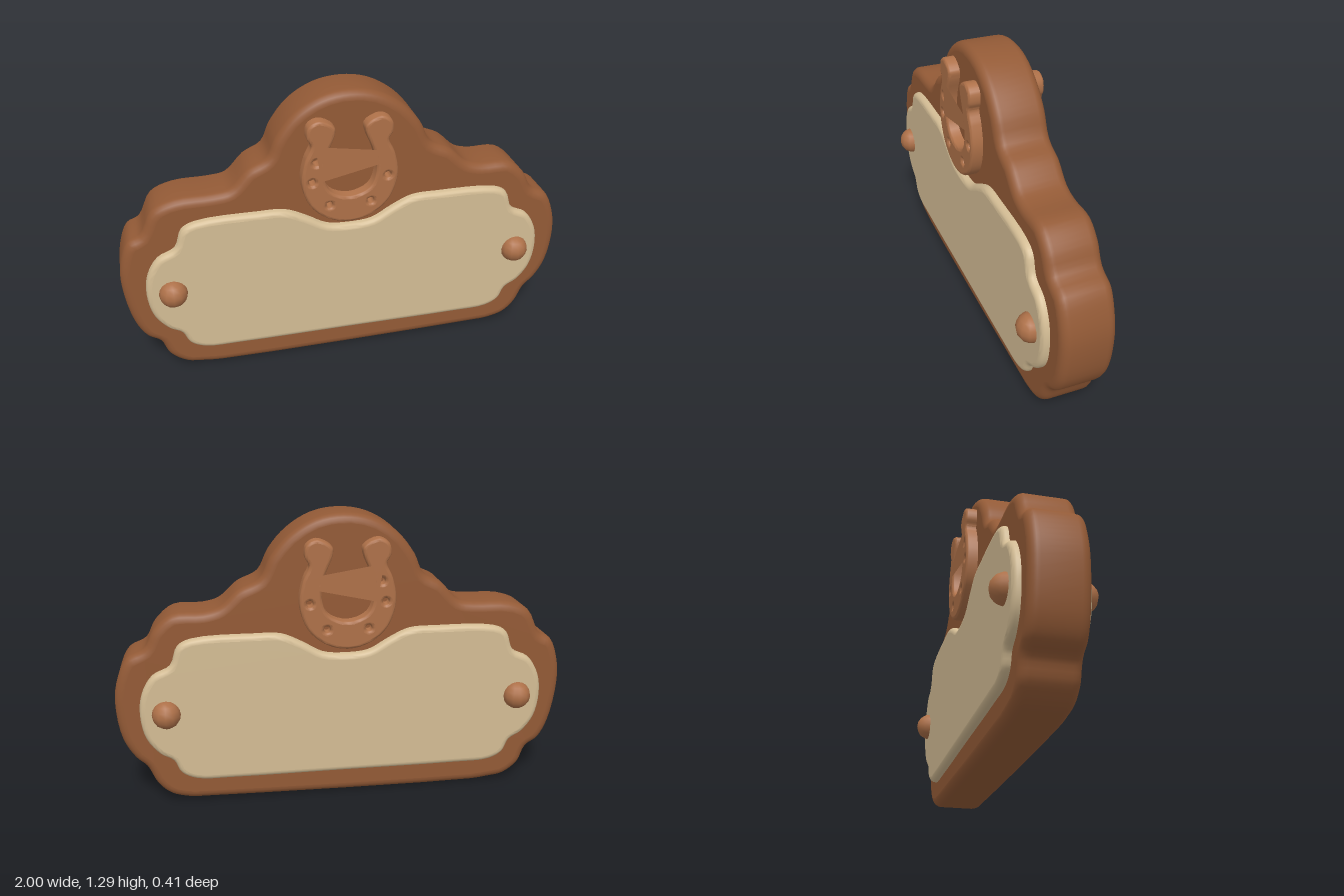
import * as THREE from 'three';
import { toCreasedNormals } from 'three/addons/utils/BufferGeometryUtils.js';

const wood = new THREE.MeshStandardMaterial({ color: 0x935a36 });
wood.name = 'brown wood';
const parchment = new THREE.MeshStandardMaterial({ color: 0xd3bc94 });
parchment.name = 'cream panel';
const copper = new THREE.MeshStandardMaterial({ color: 0xad7048 });
copper.name = 'copper';

// Smooth closed outline through a few points
function outline(points, samples) {
  const curve = new THREE.CatmullRomCurve3(
    points.map(([x, y]) => new THREE.Vector3(x, y, 0)), true, 'centripetal');
  const pts = curve.getPoints(samples).slice(0, -1);
  return new THREE.Shape(pts.map(p => new THREE.Vector2(p.x, p.y)));
}

// Full loop from its right half, mirrored about x = cx; end points lie on the axis
function mirrored(half, cx = 0) {
  const right = half.map(([x, y]) => [cx + x, y]);
  const left = half.slice(1, -1).reverse().map(([x, y]) => [cx - x, y]);
  return [...right, ...left];
}

// Slab centred on z = 0 with rounded edges and flat faces
function slab(name, shape, halfDepth, round, material) {
  const raw = new THREE.ExtrudeGeometry(shape, {
    depth: 2 * (halfDepth - round), bevelEnabled: true, bevelThickness: round,
    bevelSize: round, bevelOffset: -round, bevelSegments: 5, curveSegments: 8,
  });
  raw.translate(0, 0, round - halfDepth);
  const geo = toCreasedNormals(raw, 0.65);
  const pos = geo.attributes.position, nor = geo.attributes.normal;
  for (let i = 0; i < pos.count; i += 3) {
    const z = [0, 1, 2].map(k => pos.getZ(i + k));
    if (z.every(v => Math.abs(Math.abs(v) - halfDepth) < 1e-4)) {
      for (let k = 0; k < 3; k++) nor.setXYZ(i + k, 0, 0, Math.sign(z[0]));
    }
  }
  const mesh = new THREE.Mesh(geo, material);
  mesh.name = name;
  return mesh;
}

export function createModel() {
  const group = new THREE.Group();
  group.name = 'ranchSign';

  // Scalloped backing board, slightly uneven like hand-cut wood
  const board = outline([
    [0, 1.285], [0.12, 1.265], [0.23, 1.2], [0.31, 1.11], [0.36, 1.015],
    [0.45, 0.97], [0.53, 0.9], [0.6, 0.88], [0.73, 0.875], [0.81, 0.81],
    [0.855, 0.73], [0.93, 0.69], [0.975, 0.6], [0.995, 0.49], [0.975, 0.32],
    [0.925, 0.225], [0.88, 0.18], [0.84, 0.095], [0.785, 0.04], [0.705, 0.015],
    [0.6, 0.01], [-0.6, 0.002], [-0.685, 0.01], [-0.765, 0.025], [-0.835, 0.08],
    [-0.87, 0.16], [-0.925, 0.2], [-0.97, 0.29], [-1, 0.48], [-0.99, 0.59],
    [-0.95, 0.69], [-0.895, 0.72], [-0.835, 0.83], [-0.74, 0.87], [-0.58, 0.877],
    [-0.51, 0.89], [-0.43, 0.97], [-0.35, 1.015], [-0.31, 1.1], [-0.23, 1.2], [-0.12, 1.265],
  ], 164);
  group.add(slab('board', board, 0.115, 0.04, wood));

  // Name panel, showing on both faces of the board
  const panel = outline(mirrored([
    [0, 0.68], [0.1, 0.69], [0.19, 0.74], [0.28, 0.78], [0.4, 0.785], [0.66, 0.775],
    [0.72, 0.745], [0.755, 0.66], [0.83, 0.62], [0.88, 0.54], [0.895, 0.44],
    [0.875, 0.33], [0.82, 0.255], [0.765, 0.22], [0.735, 0.16], [0.67, 0.125],
    [0.5, 0.118], [0, 0.118],
  ], -0.005), 136);
  group.add(slab('panel', panel, 0.147, 0.025, parchment));

  // Horseshoe with six nail holes
  const cx = -0.01;
  const shoe = outline(mirrored([
    [0, 0.708], [0.1, 0.735], [0.175, 0.805], [0.208, 0.92], [0.19, 1.02],
    [0.165, 1.08], [0.182, 1.115], [0.175, 1.165], [0.13, 1.188], [0.066, 1.155],
    [0.065, 1.12], [0.1, 1.03], [0.112, 0.94], [0.085, 0.865], [0, 0.832],
  ], cx), 112);
  for (const side of [-1, 1]) {
    for (const [x, y] of [[0.145, 1.005], [0.163, 0.915], [0.09, 0.8]]) {
      const hole = new THREE.Path();
      hole.absarc(cx + side * x, y, 0.014, 0, Math.PI * 2, true);
      shoe.holes.push(hole);
    }
  }
  group.add(slab('horseshoe', shoe, 0.166, 0.014, copper));

  // Domed nails on both faces
  const dome = new THREE.SphereGeometry(0.063, 12, 8);
  for (const x of [-0.787, 0.777]) {
    for (const face of [-1, 1]) {
      const nail = new THREE.Mesh(dome, copper);
      nail.name = face > 0 ? 'frontNail' : 'backNail';
      nail.position.set(x, 0.445, face * 0.142);
      group.add(nail);
    }
  }
  return group;
}
